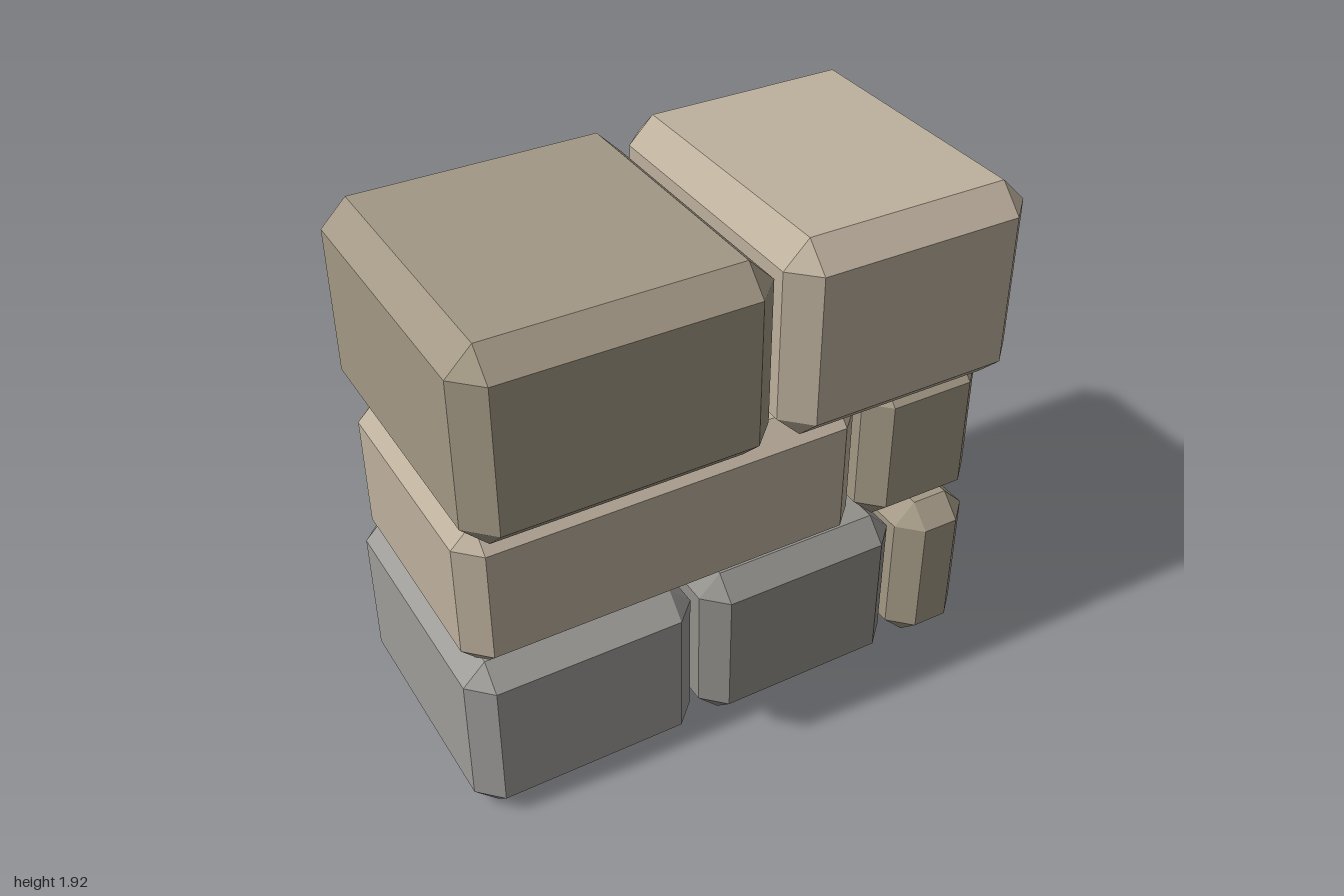
import * as THREE from 'three';
import { ConvexGeometry } from 'three/addons/geometries/ConvexGeometry.js';

const LIGHT_TAN = 0xbdb09d, DARK_TAN = 0xa29885, LIGHT_GREY = 0x9d9c99, DARK_GREY = 0x92908b;

// Box with every edge chamfered by b and a triangle at every corner
function chamferedBox(w, h, d, b) {
  const points = [];
  const [x, y, z] = [w / 2, h / 2, d / 2];
  for (const sx of [-1, 1]) for (const sy of [-1, 1]) for (const sz of [-1, 1]) {
    points.push(
      new THREE.Vector3(sx * x, sy * (y - b), sz * (z - b)),
      new THREE.Vector3(sx * (x - b), sy * y, sz * (z - b)),
      new THREE.Vector3(sx * (x - b), sy * (y - b), sz * z)
    );
  }
  return new ConvexGeometry(points);
}

// Stone block spanning the given ranges
function block(name, [x0, x1], [y0, y1], [z0, z1], bevel, color) {
  const material = new THREE.MeshStandardMaterial({ color, flatShading: true });
  const mesh = new THREE.Mesh(chamferedBox(x1 - x0, y1 - y0, z1 - z0, bevel), material);
  mesh.position.set((x0 + x1) / 2, (y0 + y1) / 2, (z0 + z1) / 2);
  mesh.name = name;
  return mesh;
}

export function createModel() {
  const wall = new THREE.Group();
  wall.name = 'stoneWall';

  // Each course shares one depth range
  const bottomZ = [-0.56, 0.44], middleZ = [-0.52, 0.4], topZ = [-0.565, 0.56];

  wall.add(
    // Bottom course
    block('bottomRightStone', [-1, -0.165], [0, 0.645], bottomZ, 0.08, LIGHT_GREY),
    block('bottomCentreStone', [-0.13, 0.65], [0, 0.635], bottomZ, 0.08, DARK_GREY),
    block('bottomLeftStone', [0.685, 0.98], [0, 0.615], bottomZ, 0.08, DARK_TAN),
    // Middle course
    block('middleRightStone', [-0.98, 0.49], [0.605, 1.18], middleZ, 0.08, LIGHT_TAN),
    block('middleLeftStone', [0.525, 1], [0.605, 1.19], middleZ, 0.08, DARK_TAN),
    // Top course
    block('topRightStone', [-1, 0.05], [1.21, 1.91], topZ, 0.09, DARK_TAN),
    block('topLeftStone', [0.08, 0.98], [1.21, 1.925], topZ, 0.09, LIGHT_TAN)
  );
  return wall;
}
